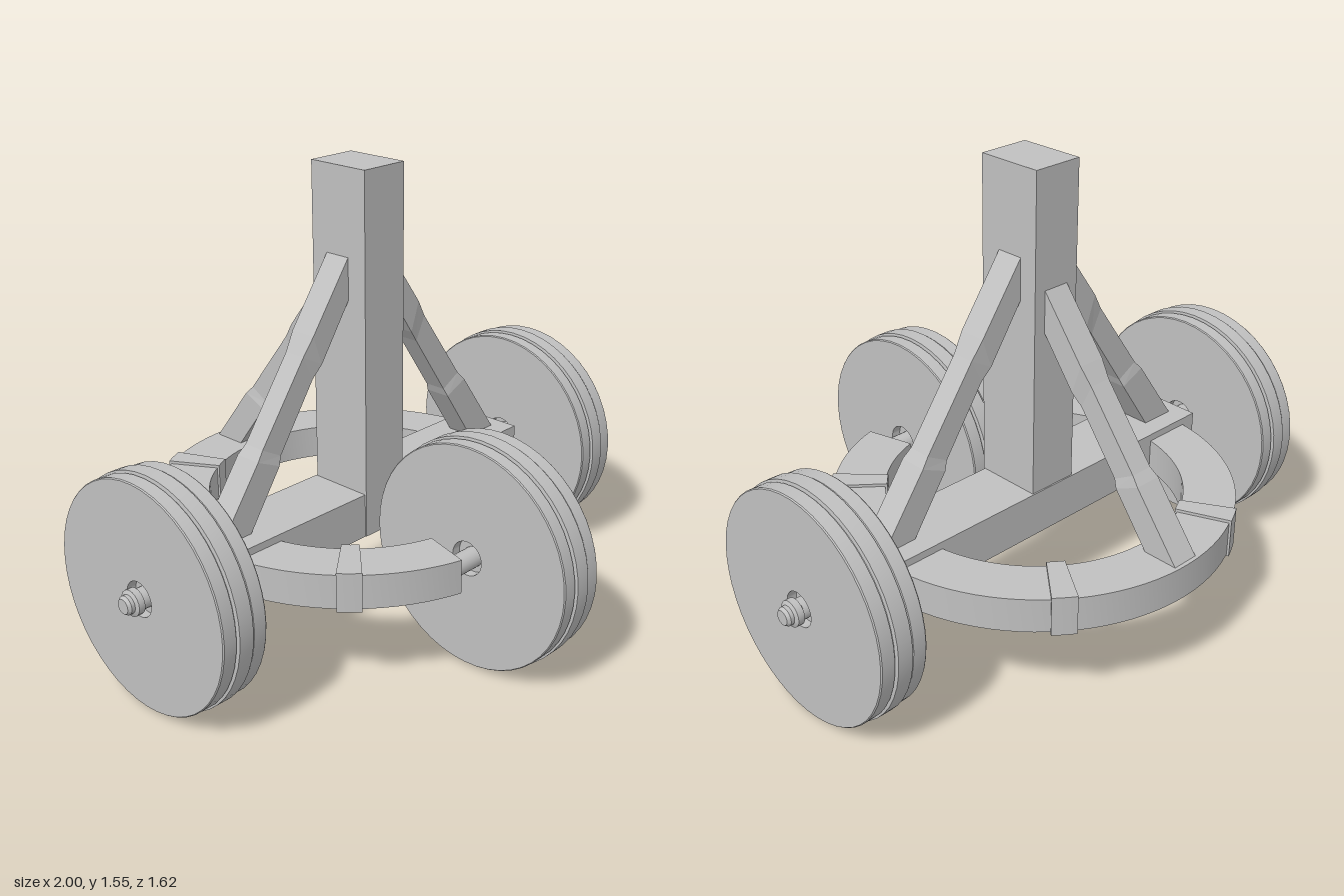
import * as THREE from 'three';
import { toCreasedNormals } from 'three/addons/utils/BufferGeometryUtils.js';

const AXLE_Y = 0.39, AXLE_Z = -0.13, FRONT_Z = 0.42, RING_Z = -0.155;

// Flat block bent along an arc; angles in degrees, 0 = +x, 90 = back (-z)
function arcBlock(r0, r1, y0, y1, a0, a1, segments) {
  const s = THREE.MathUtils.degToRad(a0), e = THREE.MathUtils.degToRad(a1);
  const shape = new THREE.Shape();
  shape.absarc(0, 0, r1, s, e, false);
  shape.absarc(0, 0, r0, e, s, true);
  const geo = new THREE.ExtrudeGeometry(shape, { depth: y1 - y0, bevelEnabled: false, curveSegments: segments });
  geo.rotateX(-Math.PI / 2).translate(0, y0, RING_Z);
  return toCreasedNormals(geo, 0.5);
}

// Slanted four-sided strut with a slightly pinched middle, leaning out along +x
function strutGeometry(topOuter, topInner, footOuter, footInner) {
  const sections = [[0, 0.047], [0.28, 0.047], [0.35, 0.039], [0.67, 0.039], [0.71, 0.047], [1, 0.047]];
  const pos = [], index = [];
  sections.forEach(([t, w]) => {
    const o = topOuter.clone().lerp(footOuter, t), i = topInner.clone().lerp(footInner, t);
    const pinch = w < 0.045 ? 0.05 : 0;
    const a = o.clone().lerp(i, pinch), b = i.clone().lerp(o, pinch);
    pos.push(a.x, a.y, w, a.x, a.y, -w, b.x, b.y, -w, b.x, b.y, w);
  });
  const last = (sections.length - 1) * 4;
  for (let s = 0; s < last; s += 4) {
    for (let k = 0; k < 4; k++) {
      const a = s + k, b = s + (k + 1) % 4;
      index.push(a, a + 4, b, b, a + 4, b + 4);
    }
  }
  index.push(0, 1, 2, 0, 2, 3, last, last + 2, last + 1, last, last + 3, last + 2);
  const geo = new THREE.BufferGeometry();
  geo.setAttribute('position', new THREE.Float32BufferAttribute(pos, 3));
  geo.setIndex(index);
  const flat = geo.toNonIndexed();
  flat.computeVertexNormals();
  return flat;
}

// Solid of revolution around the x axis from [radius, x] pairs
function turned(profile, segments) {
  const geo = new THREE.LatheGeometry(profile.map(([r, x]) => new THREE.Vector2(r, x)), segments);
  geo.rotateZ(-Math.PI / 2);
  return toCreasedNormals(geo.toNonIndexed(), 0.5);
}

export function createModel() {
  const model = new THREE.Group();
  model.name = 'threeWheeledFrame';
  const grey = new THREE.MeshStandardMaterial({ color: 0xc0c0c0 });
  grey.name = 'grey';

  const add = (name, geo, x = 0, y = 0, z = 0) => {
    const mesh = new THREE.Mesh(geo, grey);
    mesh.name = name;
    mesh.position.set(x, y, z);
    model.add(mesh);
    return mesh;
  };

  // Cross beam and upright post
  add('crossBeam', new THREE.BoxGeometry(1.42, 0.155, 0.23), 0, 0.3925, AXLE_Z);
  add('post', new THREE.BoxGeometry(0.178, 1.24, 0.23), 0, 0.937, -0.125);

  // Open ring with clamping bands
  add('ring', arcBlock(0.49, 0.66, 0.33, 0.445, -74.2, 254.2, 44));
  [-43, 53, 117, 223].forEach((angle) => {
    add('ringBand', arcBlock(0.483, 0.667, 0.322, 0.455, angle - 3.4, angle + 3.4, 2));
  });

  // Struts from the post to the beam ends and to the back of the ring
  const v = (x, y) => new THREE.Vector2(x, y);
  const side = strutGeometry(v(0.085, 1.275), v(0.085, 1.135), v(0.66, 0.465), v(0.535, 0.465));
  add('leftStrut', side, 0, 0, AXLE_Z);
  add('rightStrut', side, 0, 0, AXLE_Z).rotation.y = Math.PI;
  const back = strutGeometry(v(0.235, 1.175), v(0.235, 1.035), v(0.805, 0.44), v(0.685, 0.44));
  add('backStrut', back).rotation.y = Math.PI / 2;

  // Wheels: three stacked bands with narrow grooves and recessed hubs
  const half = [[0.376, 0.083], [0.379, 0.079], [0.379, 0.034], [0.372, 0.031], [0.372, 0.028], [0.385, 0.026]];
  const wheel = turned([
    [0.02, -0.05], [0.058, -0.05], [0.058, -0.083],
    ...half.map(([r, x]) => [r, -x]),
    ...half.slice().reverse(),
    [0.058, 0.083], [0.058, 0.05], [0.02, 0.05],
  ], 48);
  add('leftWheel', wheel, 0.857, AXLE_Y, AXLE_Z);
  add('rightWheel', wheel, -0.857, AXLE_Y, AXLE_Z);
  add('frontWheel', wheel, 0, AXLE_Y, FRONT_Z);

  // Axles; the long one ends in stepped caps
  const capEnd = [[0, 1], [0.024, 1], [0.031, 0.99], [0.031, 0.978], [0.043, 0.972], [0.043, 0.95], [0.034, 0.945]];
  add('mainAxle', turned([
    ...capEnd.map(([r, x]) => [r, -x]),
    ...capEnd.slice().reverse(),
  ], 20), 0, AXLE_Y, AXLE_Z);
  add('frontAxle', turned([[0, -0.17], [0.034, -0.17], [0.034, 0.17], [0, 0.17]], 20), 0, AXLE_Y - 0.005, FRONT_Z);

  return model;
}
